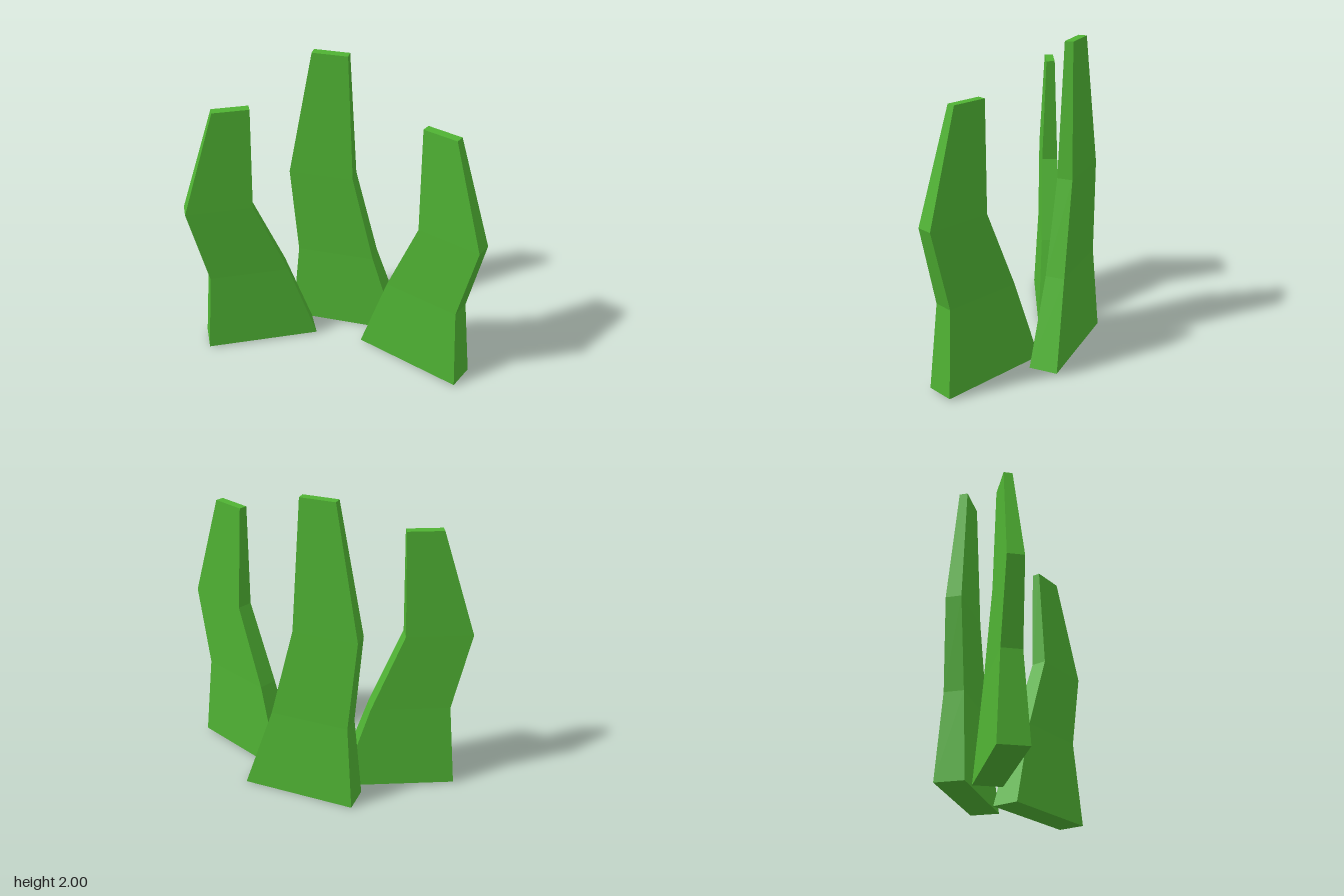
import * as THREE from 'three';

const material = new THREE.MeshStandardMaterial({ color: 0x4fb233, flatShading: true });

// Tapered blade: each section is [y, xMin, xMax, halfThickness]
function bladeGeometry(sections, mirrored) {
  const rings = sections.map(([y, a, b, t]) => {
    const [x0, x1] = mirrored ? [-b, -a] : [a, b];
    return [[x0, y, t], [x1, y, t], [x1, y, -t], [x0, y, -t]];
  });
  const positions = [];
  const quad = (a, b, c, d) => positions.push(...a, ...b, ...c, ...a, ...c, ...d);
  for (let i = 0; i < rings.length - 1; i++) {
    const low = rings[i], high = rings[i + 1];
    for (let j = 0; j < 4; j++) {
      const k = (j + 1) % 4;
      quad(low[j], low[k], high[k], high[j]);
    }
  }
  const bottom = rings[0], top = rings[rings.length - 1];
  quad(bottom[3], bottom[2], bottom[1], bottom[0]);
  quad(...top);

  const geometry = new THREE.BufferGeometry();
  geometry.setAttribute('position', new THREE.Float32BufferAttribute(positions, 3));
  geometry.computeVertexNormals();
  return geometry;
}

export function createModel() {
  const group = new THREE.Group();
  group.name = 'grassTuft';

  const tall = [
    [0, -0.38, 0.36, 0.092],
    [0.56, -0.333, 0.178, 0.062],
    [1.16, -0.385, 0.033, 0.05],
    [2, -0.23, -0.007, 0.027],
  ];
  const short = [
    [0.01, -0.378, 0.358, 0.09],
    [0.565, -0.33, 0.18, 0.062],
    [1.075, -0.446, -0.025, 0.051],
    [1.753, -0.23, -0.006, 0.027],
  ];

  function addBlade(name, sections, mirrored, x, z, turn) {
    const blade = new THREE.Mesh(bladeGeometry(sections, mirrored), material);
    blade.name = name;
    blade.position.set(x, 0, z);
    blade.rotation.y = turn;
    group.add(blade);
  }

  // Tall blade behind, two shorter blades fanning forward
  addBlade('backBlade', tall, false, 0, -0.245, 0);
  addBlade('rightBlade', short, false, -0.526, 0.086, 0.452);
  addBlade('leftBlade', short, true, 0.515, 0.066, -0.384);

  return group;
}
